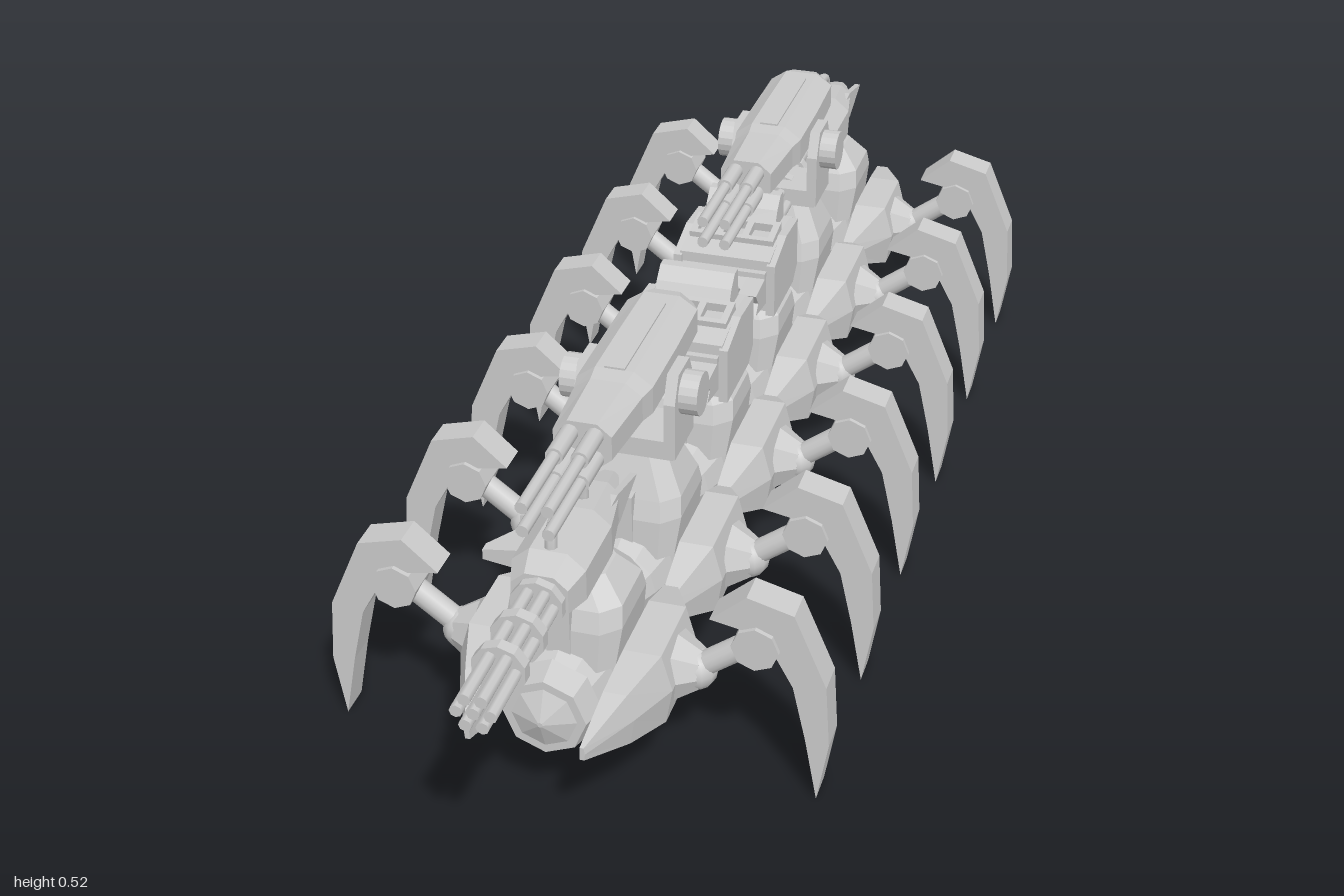
import * as THREE from 'three';

const flat = new THREE.MeshStandardMaterial({ color: 0xcccccc, flatShading: true, side: THREE.DoubleSide });
const smooth = new THREE.MeshStandardMaterial({ color: 0xcccccc });

function add(parent, name, geo, x = 0, y = 0, z = 0, mat = flat) {
  const m = new THREE.Mesh(geo, mat);
  m.name = name;
  m.position.set(x, y, z);
  parent.add(m);
  return m;
}
const box = (w, h, d) => new THREE.BoxGeometry(w, h, d);
const rodZ = (r0, r1, len, n = 8) => new THREE.CylinderGeometry(r0, r1, len, n).rotateX(Math.PI / 2);
const rodX = (r, len, n = 16) => new THREE.CylinderGeometry(r, r, len, n).rotateZ(Math.PI / 2);

// Side profile of [z, y] points, extruded across x and centred.
function sideProfile(pts, width) {
  const shape = new THREE.Shape(pts.map(([z, y]) => new THREE.Vector2(-z, y)));
  return new THREE.ExtrudeGeometry(shape, { depth: width, bevelEnabled: false })
    .translate(0, 0, -width / 2).rotateY(Math.PI / 2);
}

// Skin over equal-length loops of [x, y, z], with closed ends.
function loft(loops) {
  const n = loops[0].length, idx = [];
  loops.slice(1).forEach((_, s) => {
    for (let i = 0; i < n; i++) {
      const a = s * n + i, b = s * n + (i + 1) % n;
      idx.push(a, b, b + n, a, b + n, a + n);
    }
  });
  const last = (loops.length - 1) * n;
  for (let i = 1; i < n - 1; i++) idx.push(0, i + 1, i, last, last + i, last + i + 1);
  const g = new THREE.BufferGeometry();
  g.setAttribute('position', new THREE.Float32BufferAttribute(loops.flat(2), 3));
  g.setIndex(idx);
  const out = g.toNonIndexed();
  out.computeVertexNormals();
  return out;
}

// Chamfered eight-sided loop facing +z.
function octagon(z, hw, y0, y1, c = 0.35) {
  const cx = hw * c * 1.4, cy = (y1 - y0) * c * 0.7;
  return [[hw, y0 + cy], [hw, y1 - cy], [hw - cx, y1], [cx - hw, y1],
    [-hw, y1 - cy], [-hw, y0 + cy], [cx - hw, y0], [hw - cx, y0]].map(([x, y]) => [x, y, z]);
}

// Armour plate sections: z, inner x, outer x, bottom y, top y.
function armour(rows) {
  return loft(rows.map(([z, xi, xo, y0, y1]) => {
    const w = xo - xi, m = y0 + (y1 - y0) * 0.5;
    return [[xi, y0], [xo - w * 0.12, y0], [xo, m], [xo - w * 0.2, y1], [xi + w * 0.1, y1]].map(([x, y]) => [x, y, z]);
  }));
}
const plateShapes = {
  mid: [[-0.16, 0.08, 0.1, 0.15, 0.185], [-0.07, 0.077, 0.15, 0.117, 0.228],
    [0.07, 0.077, 0.15, 0.117, 0.228], [0.16, 0.08, 0.1, 0.15, 0.185]],
  front: [[-0.14, 0.08, 0.11, 0.14, 0.2], [-0.06, 0.077, 0.155, 0.117, 0.228],
    [0.06, 0.077, 0.155, 0.117, 0.228], [0.14, 0.077, 0.125, 0.135, 0.215], [0.23, 0.077, 0.085, 0.168, 0.188]],
  rear: [[-0.18, 0.077, 0.09, 0.135, 0.185], [-0.15, 0.077, 0.105, 0.125, 0.21], [-0.06, 0.077, 0.155, 0.117, 0.228],
    [0.06, 0.077, 0.155, 0.117, 0.228], [0.15, 0.08, 0.1, 0.15, 0.19]],
};

const clawShape = new THREE.Shape([[0.353, 0], [0.369, 0.096], [0.363, 0.194], [0.316, 0.305], [0.249, 0.323],
  [0.197, 0.277], [0.245, 0.268], [0.292, 0.23], [0.316, 0.186], [0.335, 0.1]].map(p => new THREE.Vector2(...p)));

function leg() {
  const g = new THREE.Group();
  g.name = 'leg';
  const hip = new THREE.CylinderGeometry(0.03, 0.052, 0.035, 8).rotateZ(-Math.PI / 2);
  add(g, 'hipSocket', hip, 0.163, 0.172, 0);
  add(g, 'hipBall', new THREE.SphereGeometry(0.031, 12, 8), 0.172, 0.172, 0, smooth);
  const a = new THREE.Vector3(0.17, 0.172, 0), b = new THREE.Vector3(0.265, 0.243, 0);
  const arm = add(g, 'upperLeg', new THREE.CylinderGeometry(0.018, 0.018, a.distanceTo(b), 14), 0, 0, 0, smooth);
  arm.position.copy(a).lerp(b, 0.5);
  arm.quaternion.setFromUnitVectors(new THREE.Vector3(0, 1, 0), b.clone().sub(a).normalize());
  add(g, 'knee', rodZ(0.034, 0.034, 0.064, 8), 0.263, 0.243, 0);
  const claw = new THREE.ExtrudeGeometry(clawShape, { depth: 0.05, bevelEnabled: false });
  add(g, 'claw', claw, 0, 0, -0.025);
  return g;
}

function pedestal(g, top) {
  const ring = (y, x, z, c) => [[x, z - c], [x, c - z], [x - c, -z], [c - x, -z], [-x, c - z], [-x, z - c], [c - x, z], [x - c, z]]
    .map(([px, pz]) => [px, y, pz]);
  add(g, 'pedestal', loft([ring(0.2, 0.075, 0.085, 0.02), ring(0.26, 0.083, 0.08, 0.025),
    ring(0.29, 0.08, 0.07, 0.025), ring(top, 0.05, 0.045, 0.02)]));
  for (const s of [-1, 1]) add(g, 'pedestalRib', box(0.034, 0.08, 0.02), 0, 0.26, s * 0.075);
}

// Rotary cannon with handle and side spike
function rotaryCannon(g) {
  pedestal(g, 0.325);
  add(g, 'cannonHousing', loft([octagon(-0.15, 0.014, 0.35, 0.375), octagon(-0.09, 0.035, 0.33, 0.395),
    octagon(0, 0.052, 0.318, 0.408), octagon(0.11, 0.052, 0.318, 0.408), octagon(0.15, 0.04, 0.325, 0.395)]));
  for (const s of [-1, 1]) add(g, 'tailFin', sideProfile([[-0.16, 0.37], [-0.08, 0.34], [0, 0.34], [0, 0.385], [-0.07, 0.39]], 0.01), s * 0.033, 0, 0);
  for (const z of [-0.02, 0.02, 0.06]) add(g, 'lowerRib', box(0.06, 0.02, 0.02), 0, 0.315, z);
  for (let i = 0; i < 7; i++) {
    const a = i / 6 * Math.PI * 2, r = i < 6 ? 0.023 : 0;
    add(g, 'barrel', rodZ(0.009, 0.009, 0.27), Math.cos(a) * r, 0.355 + Math.sin(a) * r, 0.265, smooth);
  }
  for (const z of [0.155, 0.23, 0.3]) add(g, 'barrelBand', rodZ(0.038, 0.038, 0.018, 10), 0, 0.355, z);
  const path = new THREE.CatmullRomCurve3([[0.1, 0.4], [0.095, 0.43], [0.075, 0.44], [-0.01, 0.44], [-0.03, 0.43], [-0.035, 0.4]]
    .map(([z, y]) => new THREE.Vector3(0, y, z)));
  add(g, 'handle', new THREE.TubeGeometry(path, 20, 0.009, 8), 0, 0, 0, smooth);
  add(g, 'sideSpike', loft([[0.33, 0.075], [0.37, 0.03]].map(() => 0).map((_, i) => {
    const x = i ? -0.112 : -0.04, h = i ? 0.008 : 0.018, z0 = i ? 0.05 : -0.04;
    return [[x, 0.352 - h, z0], [x, 0.352 + h, z0], [x, 0.352 + h, 0.065], [x, 0.352 - h, 0.065]];
  })));
}

// Four-barrelled gun on a yoke
function quadGun(g) {
  pedestal(g, 0.357);
  add(g, 'yokeBase', box(0.14, 0.03, 0.09), 0, 0.37, 0.01);
  for (const s of [-1, 1]) {
    add(g, 'yokeArm', sideProfile([[0.055, 0.36], [0.055, 0.45], [0.035, 0.49], [-0.02, 0.49], [-0.04, 0.45], [-0.04, 0.36]], 0.017), s * 0.067, 0, 0.005);
    add(g, 'trunnion', rodX(0.033, 0.045, 18), s * 0.081, 0.449, 0.012);
  }
  add(g, 'gunHousing', loft([octagon(-0.155, 0.04, 0.455, 0.515), octagon(-0.13, 0.054, 0.448, 0.522), octagon(-0.02, 0.056, 0.44, 0.522),
    octagon(0.1, 0.056, 0.44, 0.522), octagon(0.13, 0.05, 0.445, 0.52), octagon(0.245, 0.042, 0.45, 0.52)]));
  add(g, 'topRail', box(0.03, 0.01, 0.2), 0, 0.52, 0);
  for (const x of [-0.018, 0.018]) for (const y of [0.466, 0.502]) {
    add(g, 'barrel', rodZ(0.009, 0.009, 0.21, 10), x, y, 0.335, smooth);
    add(g, 'barrelSleeve', rodZ(0.013, 0.013, 0.08, 10), x, y, 0.27, smooth);
  }
}

// Box launcher with open cells
function launcher(g) {
  pedestal(g, 0.325);
  add(g, 'launcherBody', sideProfile([[0.09, 0.32], [0.09, 0.41], [0.04, 0.42], [-0.06, 0.42], [-0.06, 0.33], [-0.03, 0.315]], 0.15));
  for (const s of [-1, 1]) {
    add(g, 'sidePlate', sideProfile([[0.095, 0.315], [0.095, 0.405], [0.02, 0.425], [-0.055, 0.42], [-0.055, 0.335], [-0.03, 0.315]], 0.014), s * 0.078, 0, 0);
    add(g, 'visorCheek', sideProfile([[0.09, 0.335], [0.09, 0.385], [0.155, 0.38], [0.14, 0.36], [0.155, 0.345]], 0.03), s * 0.055, 0, 0);
  }
  add(g, 'visor', sideProfile([[0.09, 0.34], [0.09, 0.385], [0.135, 0.38], [0.12, 0.345]], 0.08));
  add(g, 'rearCrest', sideProfile([[0.005, 0.415], [-0.015, 0.45], [-0.035, 0.468], [-0.052, 0.468], [-0.058, 0.415]], 0.12));
  // cell grids on the top and on the front
  const frame = new THREE.Shape([[-0.07, -0.028], [0.07, -0.028], [0.07, 0.028], [-0.07, 0.028]].map(p => new THREE.Vector2(...p)));
  for (const x of [-0.043, 0, 0.043]) frame.holes.push(new THREE.Path(
    [[-0.016, -0.018], [-0.016, 0.018], [0.016, 0.018], [0.016, -0.018]].map(([u, v]) => new THREE.Vector2(x + u, v))));
  const grid = new THREE.ExtrudeGeometry(frame, { depth: 0.016, bevelEnabled: false });
  add(g, 'topCells', grid, 0, 0.416, 0.022).rotation.x = -Math.PI / 2 + 0.15;
  add(g, 'frontCells', grid, 0, 0.365, 0.085);
}

export function createModel() {
  const root = new THREE.Group();
  root.name = 'walker';
  const stations = [0.6, 0.317, 0.034, -0.249, -0.532, -0.82];
  const weapons = [rotaryCannon, quadGun, launcher, launcher, quadGun, rotaryCannon];
  const hull = new THREE.LatheGeometry([[0, -0.145], [0.045, -0.145], [0.058, -0.11], [0.076, -0.06], [0.082, 0],
    [0.076, 0.06], [0.06, 0.11], [0.045, 0.145], [0, 0.145]].map(p => new THREE.Vector2(...p)), 12).rotateX(Math.PI / 2);
  stations.forEach((z, i) => {
    const seg = new THREE.Group();
    seg.name = 'segment' + (i + 1);
    seg.position.z = z;
    root.add(seg);
    add(seg, 'hull', hull, 0, 0.16, 0);
    const kind = i === 0 ? 'front' : i === 5 ? 'rear' : 'mid';
    for (const s of [1, -1]) {
      const side = new THREE.Group();
      side.name = s > 0 ? 'leftSide' : 'rightSide';
      side.scale.x = s;
      add(side, 'armourPlate', armour(plateShapes[kind]));
      add(side, 'plateBracket', box(0.05, 0.06, 0.1), 0.07, 0.17, 0);
      side.add(leg());
      seg.add(side);
    }
    const turret = new THREE.Group();
    turret.name = 'turret';
    weapons[i](turret);
    seg.add(turret);
  });
  // end caps of the hull
  for (const s of [1, -1]) {
    const z = s > 0 ? 0.73 : -0.95;
    add(root, 'endRing', s > 0 ? rodZ(0.06, 0.07, 0.04) : rodZ(0.065, 0.05, 0.04), 0, 0.161, z);
    add(root, 'endDome', s > 0 ? rodZ(0.004, 0.052, 0.02) : rodZ(0.045, 0.025, 0.03), 0, 0.161, z + s * 0.028);
  }
  return root;
}
